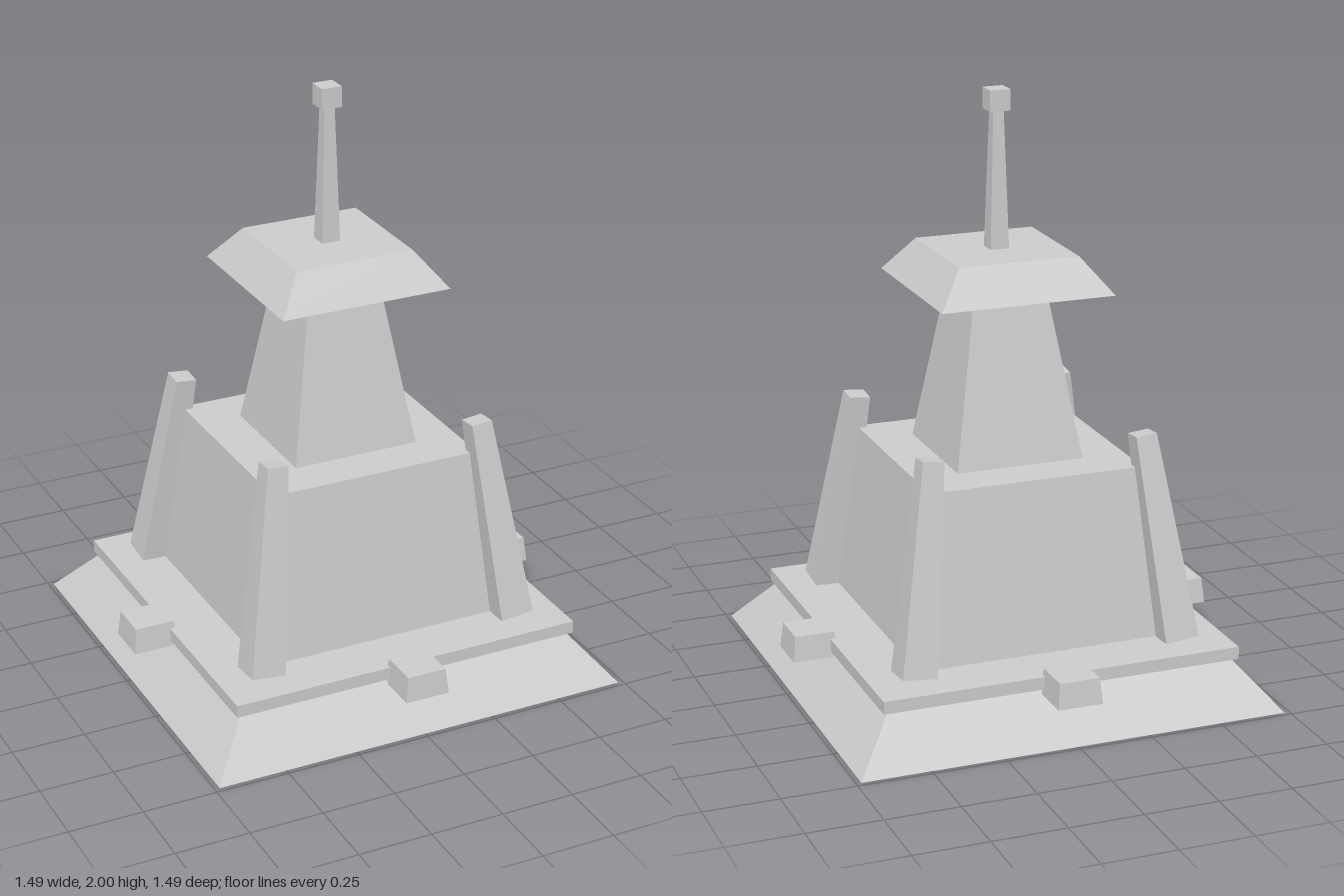
import * as THREE from 'three';

const stone = new THREE.MeshStandardMaterial({ color: 0xcccccc });
stone.name = 'paleStone';

// Box of unit size whose corners are placed by a rule: (sx, sy, sz) in -1..1 -> point
function shapedBox(name, rule) {
  const geo = new THREE.BoxGeometry(2, 2, 2).toNonIndexed();
  const pos = geo.attributes.position;
  for (let i = 0; i < pos.count; i++) {
    pos.setXYZ(i, ...rule(pos.getX(i), pos.getY(i), pos.getZ(i)));
  }
  geo.computeVertexNormals();
  const mesh = new THREE.Mesh(geo, stone);
  mesh.name = name;
  return mesh;
}

// Square frustum from y0 (half width h0) to y1 (half width h1)
function frustum(name, y0, h0, y1, h1) {
  return shapedBox(name, (sx, sy, sz) => {
    const h = sy < 0 ? h0 : h1;
    return [sx * h, sy < 0 ? y0 : y1, sz * h];
  });
}

// Tapered corner post leaning inwards, with its end faces square to the lean
function cornerPost(dx, dz) {
  return shapedBox('cornerPost', (sx, sy, sz) => {
    const [inner, outer, y, tilt] = sy < 0 ? [0.40, 0.518, 0.21, 0.006] : [0.332, 0.404, 0.9, 0.0035];
    const x = sx * dx > 0 ? outer : inner;
    const z = sz * dz > 0 ? outer : inner;
    return [dx * x, y + tilt * (sx * dx + sz * dz), dz * z];
  });
}

export function createModel() {
  const model = new THREE.Group();
  model.name = 'tower';

  // Stacked body, bottom to top
  model.add(
    frustum('slopedBase', 0, 0.733, 0.165, 0.594),
    frustum('terraceSlab', 0.163, 0.617, 0.206, 0.617),
    frustum('lowerBody', 0.2, 0.435, 0.785, 0.37),
    frustum('upperTower', 0.78, 0.221, 1.356, 0.125),
    frustum('roof', 1.354, 0.298, 1.472, 0.207),
    frustum('spire', 1.47, 0.032, 1.935, 0.018),
    frustum('spireCap', 1.93, 0.035, 2.0, 0.035)
  );

  // Four corner posts
  for (const dx of [-1, 1]) for (const dz of [-1, 1]) model.add(cornerPost(dx, dz));

  // One block at the middle of each terrace edge
  for (let i = 0; i < 4; i++) {
    const block = frustum('edgeBlock', 0.143, 0.077, 0.23, 0.068);
    const a = (i * Math.PI) / 2;
    block.position.set(0.669 * Math.sin(a), 0, 0.669 * Math.cos(a));
    model.add(block);
  }
  return model;
}
